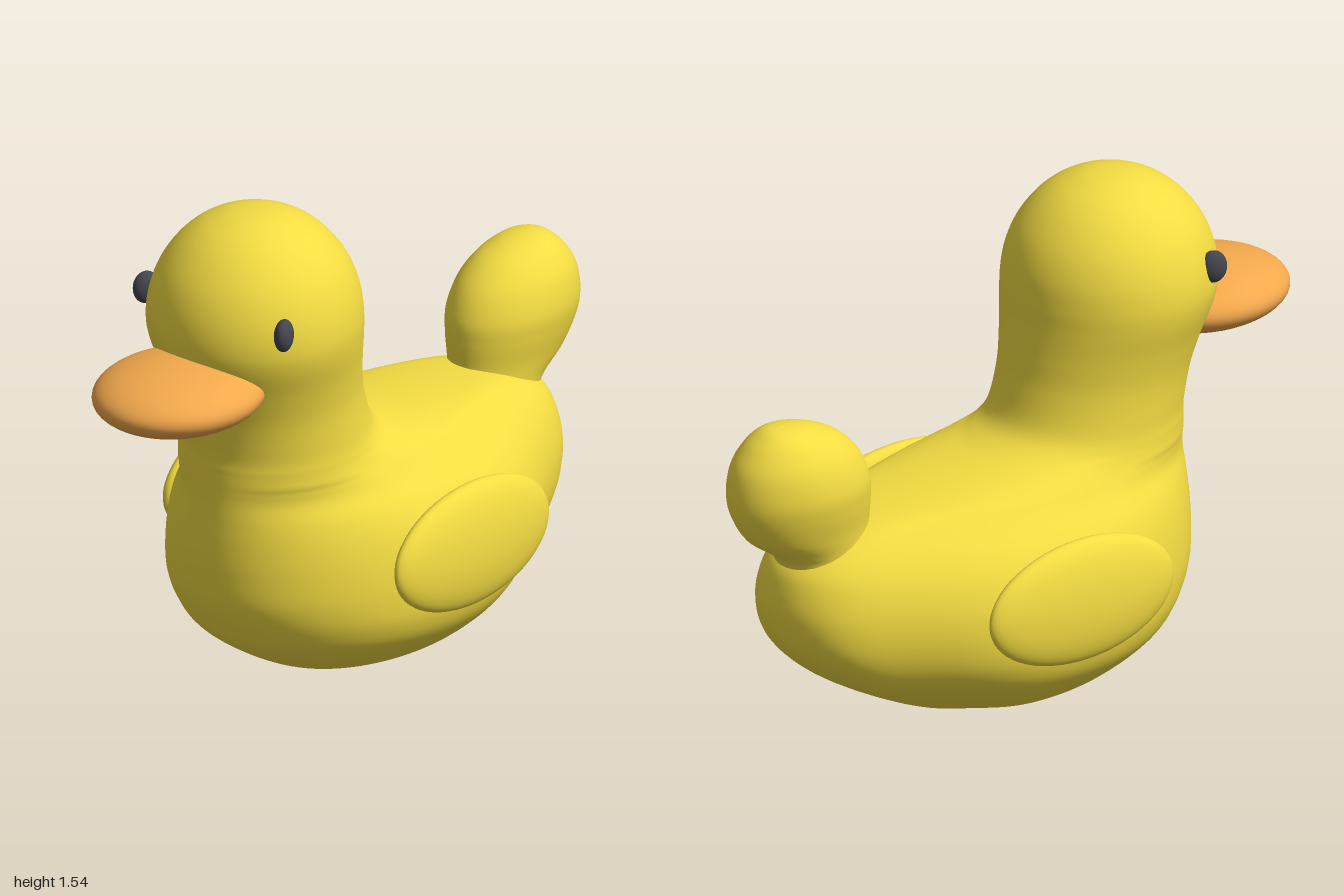
import * as THREE from 'three';

const yellow = new THREE.MeshStandardMaterial({ color: 0xf3dc42 });
const orange = new THREE.MeshStandardMaterial({ color: 0xf2a84c });
const dark = new THREE.MeshStandardMaterial({ color: 0x44464e });

// Smooth loft through horizontal egg-shaped sections.
// Row: [y, front z, back z, z of widest point, half width, rear taper]
function loft(rows, steps, sides) {
  const ends = new THREE.CatmullRomCurve3(rows.map(r => new THREE.Vector3(r[0], r[1], r[2])), false, 'catmullrom');
  const widths = new THREE.CatmullRomCurve3(rows.map(r => new THREE.Vector3(r[3], r[4], r[5])), false, 'catmullrom');
  const pos = [], index = [];
  for (let j = 0; j <= steps; j++) {
    const { x: y, y: front, z: back } = ends.getPoint(j / steps);
    const { x: mid, y: half, z: taper } = widths.getPoint(j / steps);
    for (let i = 0; i < sides; i++) {
      const a = (i / sides) * Math.PI * 2, c = Math.cos(a);
      const pinch = c < 0 ? 1 - 0.13 * taper * Math.sin(2 * a) ** 4 : 1;
      pos.push(half * Math.sin(a) * pinch, y, mid + c * (c > 0 ? front - mid : mid - back));
      if (j === steps) continue;
      const n = (i + 1) % sides, p = j * sides, q = p + sides;
      index.push(p + i, p + n, q + i, p + n, q + n, q + i);
    }
  }
  const geo = new THREE.BufferGeometry();
  geo.setAttribute('position', new THREE.Float32BufferAttribute(pos, 3));
  geo.setIndex(index);
  geo.computeVertexNormals();
  return geo;
}

function add(group, name, geo, material) {
  const mesh = new THREE.Mesh(geo, material);
  mesh.name = name;
  group.add(mesh);
  return mesh;
}

function ellipsoid(group, name, material, center, radii) {
  const mesh = add(group, name, new THREE.SphereGeometry(1, 48, 32), material);
  mesh.position.set(...center);
  mesh.scale.set(...radii);
  return mesh;
}

export function createModel() {
  const duck = new THREE.Group();
  duck.name = 'duck';

  // Hull, flowing over the back into the neck and head
  const lower = [
    [0, -0.05, -0.05, -0.05, 0, 1],
    [0.01, 0.08, -0.18, -0.05, 0.1, 1],
    [0.04, 0.23, -0.31, -0.05, 0.2, 1],
    [0.1, 0.36, -0.46, -0.05, 0.315, 1],
    [0.19, 0.49, -0.63, -0.05, 0.415, 1],
    [0.27, 0.55, -0.745, -0.05, 0.455, 1],
    [0.36, 0.59, -0.825, -0.05, 0.46, 1],
    [0.46, 0.6, -0.857, -0.04, 0.448, 1],
    [0.55, 0.6, -0.85, -0.01, 0.42, 1],
    [0.62, 0.597, -0.82, 0.04, 0.38, 1],
    [0.68, 0.595, -0.74, 0.12, 0.325, 0.8],
    [0.72, 0.595, -0.6, 0.2, 0.298, 0.5],
    [0.743, 0.595, -0.38, 0.25, 0.287, 0.3],
    [0.765, 0.595, -0.19, 0.27, 0.28, 0.2],
    [0.79, 0.595, -0.075, 0.285, 0.275, 0.1],
  ];
  const upper = [
    [0.84, 0.597, 0, 0.3, 0.27, 0],
    [0.95, 0.62, 0.037, 0.33, 0.271, 0],
    [1.05, 0.655, 0.052, 0.355, 0.287, 0],
    [1.15, 0.695, 0.062, 0.38, 0.311, 0],
    [1.22, 0.707, 0.066, 0.387, 0.317, 0],
    [1.3, 0.698, 0.077, 0.387, 0.305, 0],
    [1.38, 0.667, 0.108, 0.387, 0.274, 0],
    [1.45, 0.615, 0.16, 0.387, 0.224, 0],
    [1.5, 0.555, 0.22, 0.387, 0.165, 0],
    [1.53, 0.49, 0.285, 0.387, 0.102, 0],
    [1.542, 0.437, 0.337, 0.387, 0.05, 0],
    [1.545, 0.387, 0.387, 0.387, 0, 0],
  ];
  add(duck, 'bodyAndHead', loft([...lower, ...upper], 182, 80), yellow);

  // Upturned bulb tail with a narrow root
  add(duck, 'tail', loft([
    [0.52, -0.5, -0.8, -0.65, 0.16, 0],
    [0.62, -0.51, -0.825, -0.67, 0.135, 0],
    [0.66, -0.525, -0.86, -0.69, 0.13, 0],
    [0.72, -0.53, -0.94, -0.73, 0.14, 0],
    [0.8, -0.528, -0.988, -0.755, 0.158, 0],
    [0.87, -0.535, -1, -0.77, 0.165, 0],
    [0.95, -0.575, -0.985, -0.79, 0.148, 0],
    [1.01, -0.64, -0.945, -0.805, 0.113, 0],
    [1.045, -0.715, -0.905, -0.82, 0.075, 0],
    [1.06, -0.77, -0.875, -0.83, 0.04, 0],
    [1.066, -0.835, -0.835, -0.835, 0, 0],
  ], 80, 48), yellow);

  ellipsoid(duck, 'beak', orange, [0, 1.077, 0.725], [0.24, 0.098, 0.275]);

  for (const [side, s] of [['left', 1], ['right', -1]]) {
    const wing = ellipsoid(duck, side + 'Wing', yellow, [s * 0.445, 0.455, -0.065], [0.063, 0.187, 0.338]);
    wing.rotation.z = s * 0.07;
    const eye = ellipsoid(duck, side + 'Eye', dark, [s * 0.265, 1.28, 0.565], [0.028, 0.05, 0.041]);
    eye.rotation.y = s * 0.4;
  }
  return duck;
}
